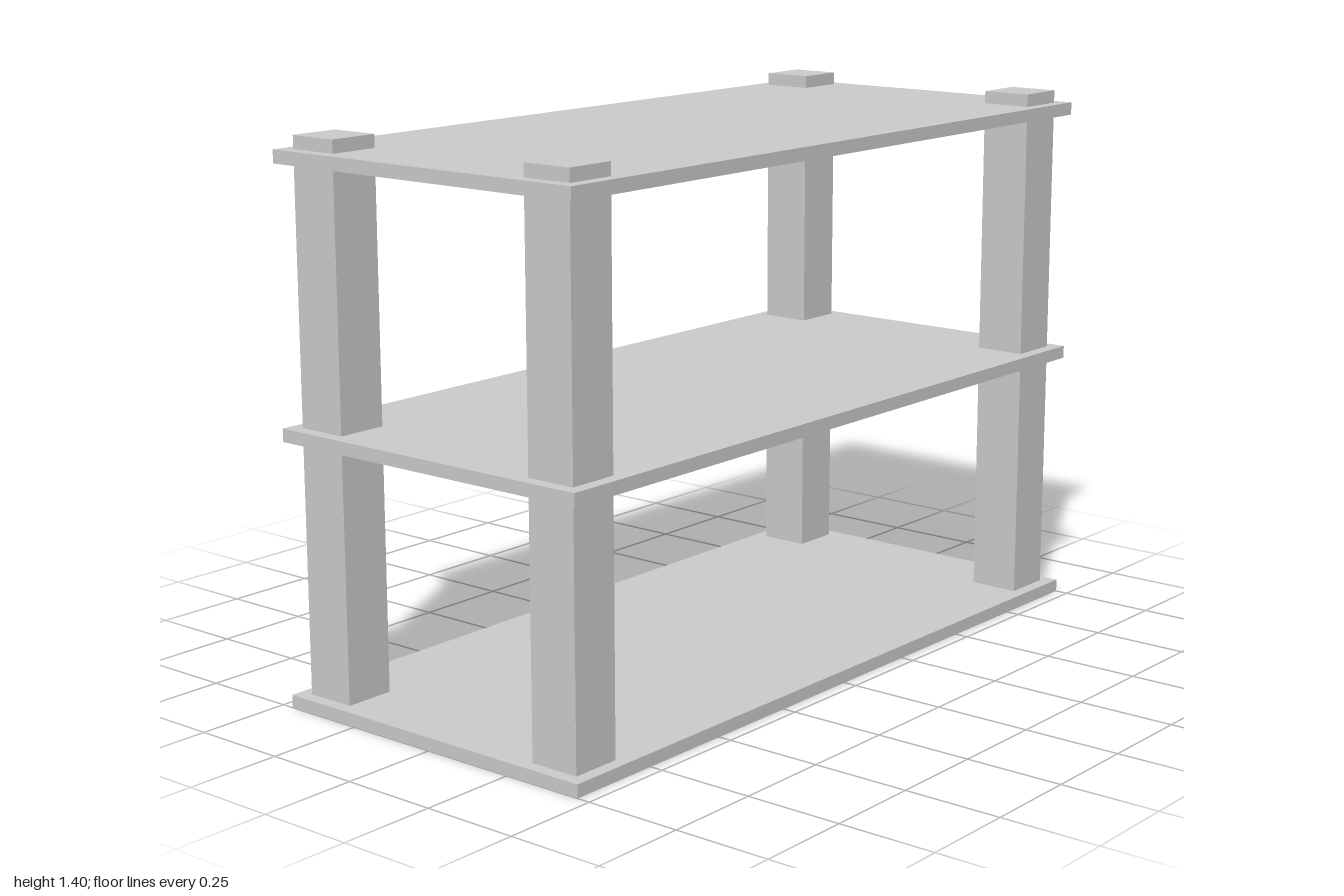
import * as THREE from 'three';

const material = new THREE.MeshStandardMaterial({ color: 0xcccccc, flatShading: true });

// Box placed by its centre in x and z and by its underside in y
function addBox(parent, name, [w, h, d], [x, bottom, z]) {
  const mesh = new THREE.Mesh(new THREE.BoxGeometry(w, h, d), material);
  mesh.name = name;
  mesh.position.set(x, bottom + h / 2, z);
  parent.add(mesh);
}

export function createModel() {
  const model = new THREE.Group();
  model.name = 'shelfUnit';

  const thickness = 0.033;
  const postSize = 0.133;
  const height = 1.4;

  // Three full-size boards
  const boards = { bottomShelf: 0, middleShelf: 0.667, topShelf: 1.334 };
  for (const [name, y] of Object.entries(boards)) {
    addBox(model, name, [0.932, thickness, 2], [0, y, 0]);
  }

  // Corner posts stand on the bottom board and poke through the top one
  for (const [sideName, sx] of [['Left', 1], ['Right', -1]]) {
    for (const [endName, sz] of [['front', 1], ['back', -1]]) {
      addBox(model, `${endName}${sideName}Post`,
        [postSize, height - thickness, postSize], [sx * 0.366, thickness, sz * 0.9]);
    }
  }

  return model;
}
